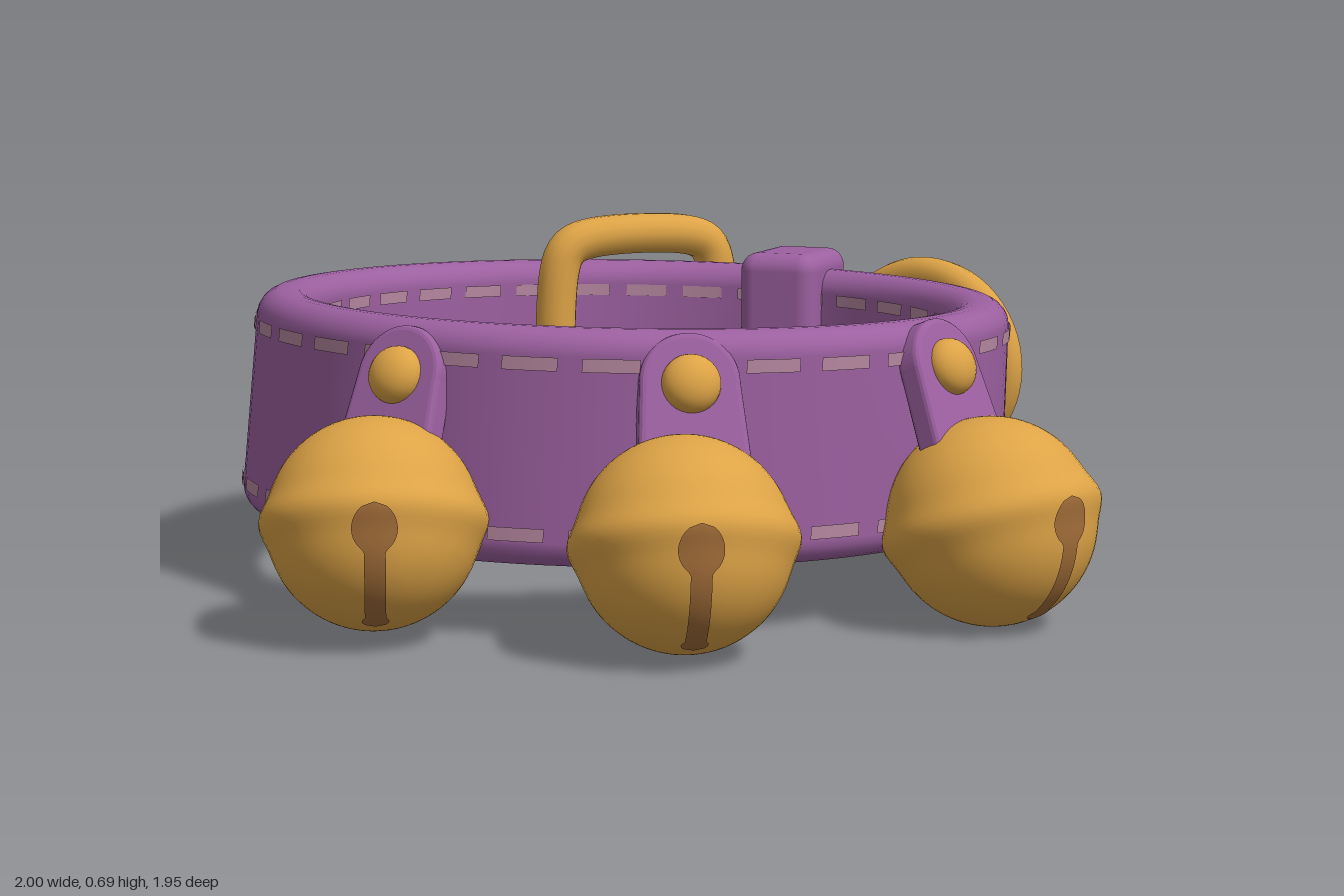
import * as THREE from 'three';
import { RoundedBoxGeometry } from 'three/addons/geometries/RoundedBoxGeometry.js';

const mat = (name, color, side = THREE.FrontSide) => {
  const m = new THREE.MeshStandardMaterial({ color, side });
  m.name = name;
  return m;
};
const leather = mat('purple leather', 0x9c60a0);
const brass = mat('brass', 0xdda346);
const thread = mat('pale thread', 0xb5879f, THREE.DoubleSide);
const slotDark = mat('bell slot', 0xa06c38, THREE.DoubleSide);
const holeDark = mat('punched hole', 0x754678, THREE.DoubleSide);

const CX = 0.07, CY = 0.365, CZ = -0.175; // centre of the band
const R_OUT = 0.803, R_IN = 0.682, HALF = 0.228;
const rad = THREE.MathUtils.degToRad;

function add(parent, name, geometry, material, x = 0, y = 0, z = 0) {
  const mesh = new THREE.Mesh(geometry, material);
  mesh.name = name;
  mesh.position.set(x, y, z);
  parent.add(mesh);
  return mesh;
}

// Group whose +z axis points outward from the band at an angle (0 = front)
function radialGroup(parent, name, degrees) {
  const g = new THREE.Group();
  g.name = name;
  g.rotation.y = rad(degrees);
  parent.add(g);
  return g;
}

// Leans the -x side of the band inward towards the top
function lean(geometry) {
  const p = geometry.attributes.position;
  for (let i = 0; i < p.count; i++) {
    const x = p.getX(i), weight = 0.5 - 0.5 * x / R_OUT;
    p.setX(i, x + 0.1 * p.getY(i) * weight);
  }
  return geometry;
}

// Ring-shaped strap with rounded edges
function makeBand() {
  const band = new THREE.Group();
  band.name = 'collarBand';
  const c = 0.05, profile = [];
  const corners = [[R_OUT - c, -HALF + c, -90], [R_OUT - c, HALF - c, 0],
    [R_IN + c, HALF - c, 90], [R_IN + c, -HALF + c, 180]];
  for (const [x, y, start] of corners) {
    for (let i = 0; i <= 5; i++) {
      const a = rad(start + i * 18);
      profile.push(new THREE.Vector2(x + c * Math.cos(a), y + c * Math.sin(a)));
    }
  }
  profile.push(profile[0].clone());
  add(band, 'strap', lean(new THREE.LatheGeometry(profile, 96)), leather);

  // Dashed stitching: both edges outside, upper edge inside
  const count = 32, step = Math.PI * 2 / count;
  for (const [r, y] of [[R_OUT + 0.004, -0.163], [R_OUT + 0.004, 0.163], [R_IN - 0.004, 0.163]]) {
    for (let i = 0; i < count; i++) {
      const dash = new THREE.CylinderGeometry(r, r, 0.026, 6, 1, true, i * step, step * 0.7);
      dash.translate(0, y, 0);
      add(band, 'stitch', lean(dash), thread);
    }
  }

  // Punched holes
  for (const angle of [90.5, 121]) {
    add(radialGroup(band, 'strapHole', angle), 'punchedHole',
      new THREE.CircleGeometry(0.048, 24), holeDark, 0, -0.015, R_OUT + 0.004);
  }
  return band;
}

// Bell radius by elevation: a sphere with a raised seam at its waist
const bellRadius = a => 0.206 + 0.014 * Math.exp(-((a / 0.17) ** 2));

// Keyhole opening laid on the bell surface as a strip of cross-sections
function keyholeGeometry() {
  const rows = 40, cols = 6, pos = [], index = [];
  for (let i = 0; i <= rows; i++) {
    const e = -1 - i * 79 / rows, a = rad(e), r = bellRadius(a) + 0.003;
    const round = 0.043 * Math.sqrt(Math.max(0, 1 - ((e + 14) / 13) ** 2));
    const foot = 0.026 * Math.sqrt(Math.max(0, 1 - ((e + 74) / 6) ** 2));
    const stem = e < -15 && e > -76 ? 0.02 : 0;
    const w = Math.max(round, foot, stem);
    for (let j = 0; j <= cols; j++) {
      const x = w * (j / cols * 2 - 1), s = Math.sqrt(r * r - x * x);
      pos.push(x, s * Math.sin(a), s * Math.cos(a));
      if (i < rows && j < cols) {
        const k = i * (cols + 1) + j, n = k + cols + 1;
        index.push(k, n, k + 1, k + 1, n, n + 1);
      }
    }
  }
  const g = new THREE.BufferGeometry();
  g.setAttribute('position', new THREE.Float32BufferAttribute(pos, 3));
  g.setIndex(index);
  g.computeVertexNormals();
  return g;
}

// Round bell, its seam tipped up towards the slot
function makeBell(x, y, z, yaw) {
  const bell = new THREE.Group();
  bell.name = 'bell';
  bell.position.set(x, y, z);
  bell.rotation.set(-0.38, rad(yaw), 0, 'YXZ');
  const profile = [];
  for (let i = 0; i <= 48; i++) {
    const a = -Math.PI / 2 + Math.PI * i / 48, r = bellRadius(a);
    profile.push(new THREE.Vector2(Math.max(0, r * Math.cos(a)), r * Math.sin(a)));
  }
  add(bell, 'bellShell', new THREE.LatheGeometry(profile, 48), brass);
  add(bell, 'bellSlot', keyholeGeometry(), slotDark);
  return bell;
}

// Leather tab with a rounded top and a brass rivet, leaning out to the bell
function makeTab(parent, angle, distance) {
  const holder = radialGroup(parent, 'bellTab', angle);
  holder.position.set(CX, 0, CZ);
  const tab = new THREE.Group();
  tab.name = 'tab';
  tab.position.set(0, 0.5, distance);
  tab.rotation.x = -0.38;
  holder.add(tab);
  const w = 0.085, shape = new THREE.Shape();
  shape.moveTo(-w - 0.012, -0.15);
  shape.lineTo(w + 0.012, -0.15);
  shape.lineTo(w, 0);
  shape.absarc(0, 0.005, w, 0, Math.PI, false);
  shape.closePath();
  add(tab, 'tabLeather', new THREE.ExtrudeGeometry(shape, {
    depth: 0.032, bevelEnabled: true, bevelSize: 0.012, bevelThickness: 0.012,
    bevelSegments: 3, curveSegments: 16,
  }), leather, 0, 0, -0.025);
  add(tab, 'rivet', new THREE.SphereGeometry(0.057, 24, 16), brass, 0, 0, 0.02).scale.z = 0.75;
}

// Closed rounded-rectangle buckle frame passing through the strap, plus prong
function makeBuckle() {
  const buckle = new THREE.Group();
  buckle.name = 'buckle';
  const hw = 0.2, hh = 0.283, c = 0.075, k = c * 0.3, pts = [];
  for (const [sx, sy] of [[1, 1], [-1, 1], [-1, -1], [1, -1]]) {
    const corner = [[hw, hh - c], [hw - k, hh - k], [hw - c, hh]];
    if (sx * sy < 0) corner.reverse();
    for (const [x, y] of corner) pts.push(new THREE.Vector3(sx * x, sy * y, 0));
  }
  const path = new THREE.CatmullRomCurve3(pts, true, 'centripetal');
  const frame = add(buckle, 'buckleFrame', new THREE.TubeGeometry(path, 120, 0.047, 14, true),
    brass, 0.525, 0.36, -0.722);
  frame.rotation.y = -0.25;
  const prong = new THREE.CatmullRomCurve3([[0.725, -0.675], [0.725, -0.745],
    [0.68, -0.785], [0.61, -0.79], [0.53, -0.76]].map(([x, z]) => new THREE.Vector3(x, 0.35, z)));
  add(buckle, 'buckleProng', new THREE.TubeGeometry(prong, 40, 0.038, 12), brass);
  return buckle;
}

// Oval ring held by a knobbed stud on the strap
function makeSideRing() {
  const g = new THREE.Group();
  g.name = 'sideRing';
  const ring = add(g, 'ovalRing', new THREE.TorusGeometry(0.2, 0.039, 14, 56), brass, 0.912, 0.377, -0.142);
  ring.rotation.y = Math.PI / 2 + 0.17;
  ring.scale.x = 1.09;
  const profile = [[0, 0], [0.062, 0], [0.062, 0.04], [0.058, 0.09],
    [0.048, 0.12], [0.025, 0.138], [0, 0.142]].map(p => new THREE.Vector2(...p));
  const stud = add(g, 'ringStud', new THREE.LatheGeometry(profile, 24), brass, 0.855, 0.35, -0.07);
  stud.rotation.z = -Math.PI / 2;
  return g;
}

export function createModel() {
  const model = new THREE.Group();
  model.name = 'bellCollar';

  const band = makeBand();
  band.position.set(CX, CY, CZ);
  band.rotation.z = -0.02;
  model.add(band);

  // Three bells hung from tabs
  for (const [x, y, z, yaw, tabAngle, tabDistance] of [
    [-0.783, 0.233, 0.132, -33, -71, 0.798],
    [-0.41, 0.22, 0.612, -30, -29.5, 0.8],
    [0.245, 0.21, 0.757, 2, 10, 0.835],
  ]) {
    model.add(makeBell(x, y, z, yaw));
    makeTab(model, tabAngle, tabDistance);
  }

  model.add(makeBuckle(), makeSideRing());

  // Leather keeper loop around the strap
  const keeper = add(model, 'keeperLoop', new RoundedBoxGeometry(0.25, 0.55, 0.185, 5, 0.04),
    leather, 0.75, 0.345, -0.425);
  keeper.rotation.y = rad(29);

  return model;
}
